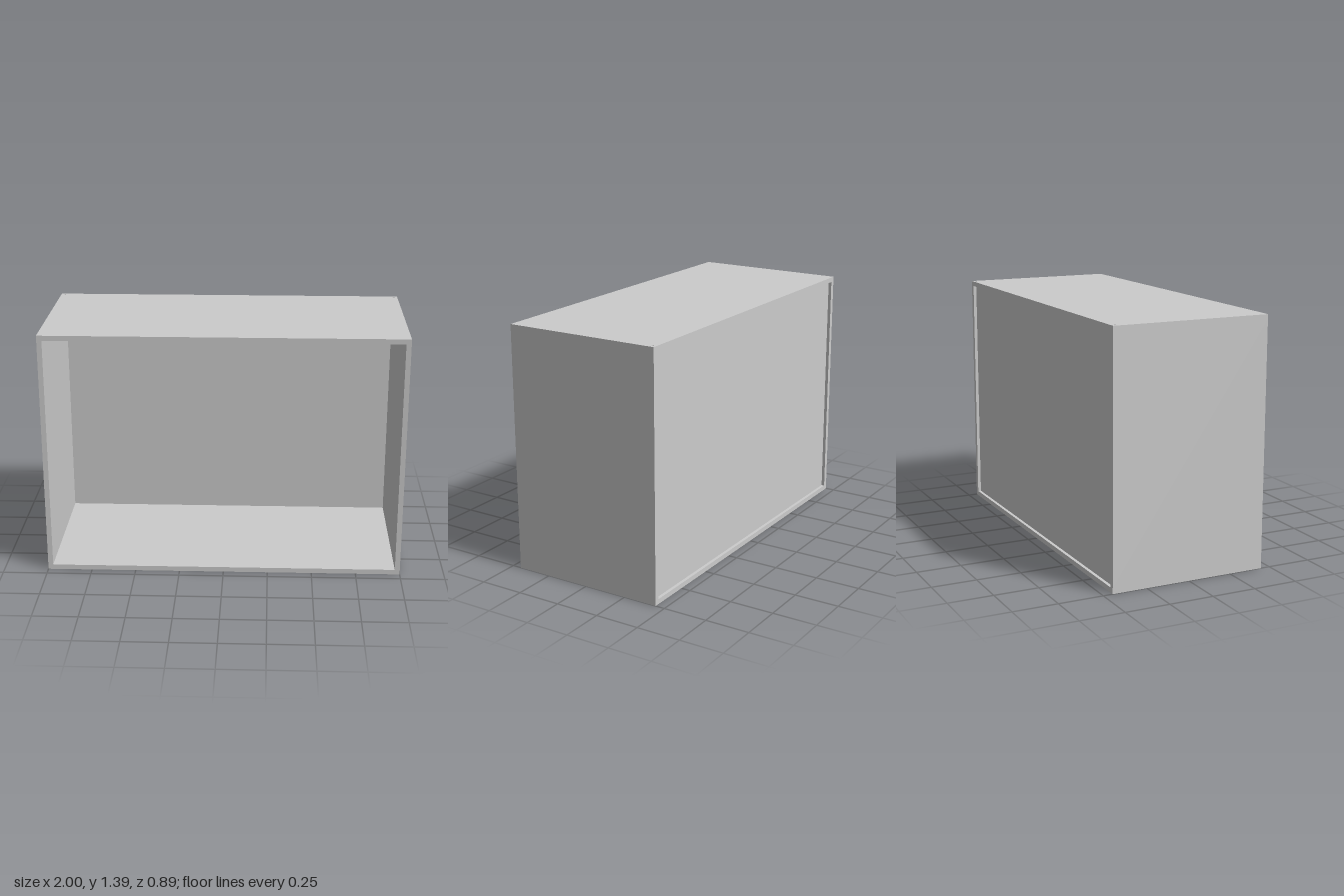
import * as THREE from 'three';

const W = 2, H = 1.386, D = 0.893, T = 0.028;

export function createModel() {
  const group = new THREE.Group();
  const material = new THREE.MeshStandardMaterial({ color: 0xcccccc });

  const add = (name, geometry, x, y, z) => {
    const mesh = new THREE.Mesh(geometry, material);
    mesh.name = name;
    mesh.position.set(x, y, z);
    group.add(mesh);
  };

  // Top board with a small hole near each back corner
  const outline = new THREE.Shape([
    new THREE.Vector2(-W / 2, -D / 2),
    new THREE.Vector2(W / 2, -D / 2),
    new THREE.Vector2(W / 2, D / 2),
    new THREE.Vector2(-W / 2, D / 2),
  ]);
  for (const side of [-1, 1]) {
    const hole = new THREE.Path();
    hole.absarc(side * 0.978, 0.427, 0.007, 0, Math.PI * 2, true);
    outline.holes.push(hole);
  }
  const top = new THREE.ExtrudeGeometry(outline, { depth: T, bevelEnabled: false, curveSegments: 20 });
  top.rotateX(-Math.PI / 2);
  add('topBoard', top, 0, H - T, 0);

  // Bottom board
  add('bottomBoard', new THREE.BoxGeometry(W, T, D), 0, T / 2, 0);

  // Side boards between top and bottom
  const sideBoard = new THREE.BoxGeometry(T, H - 2 * T, D);
  add('leftSide', sideBoard, (W - T) / 2, H / 2, 0);
  add('rightSide', sideBoard, -(W - T) / 2, H / 2, 0);

  // Thin back panel, set slightly in from the rear edges
  const panel = 0.014, recess = 0.018;
  add('backPanel', new THREE.BoxGeometry(W - 2 * T, H - 2 * T, panel), 0, H / 2, -D / 2 + recess + panel / 2);

  return group;
}
